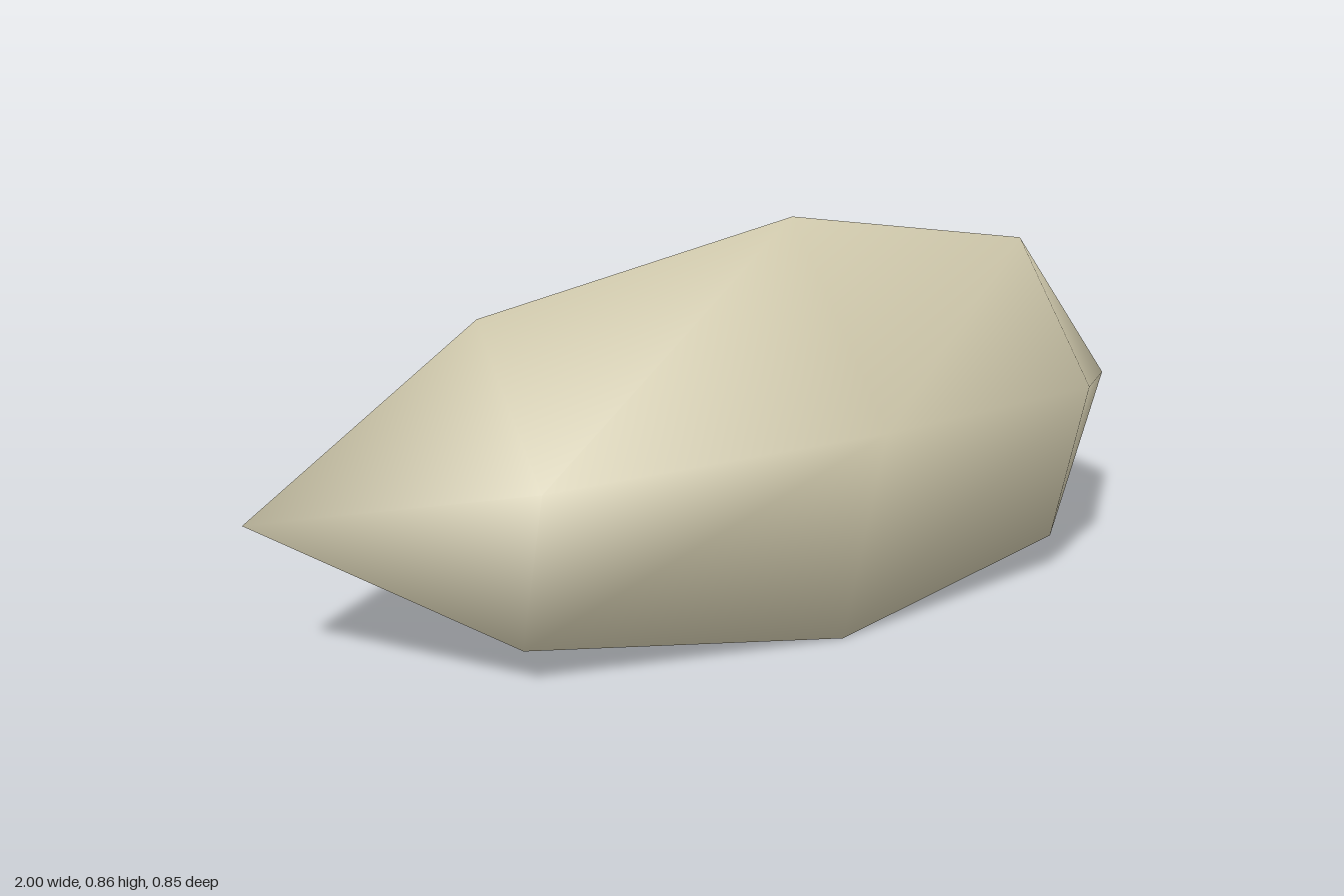
import * as THREE from 'three';

const SIDES = 5;
const AXIS_Y = 0.385;
// Pentagon rings along the body: x, vertical radius, depth radius
const RINGS = [
  [-0.5, 0.354, 0.358],
  [0.2, 0.475, 0.449],
  [0.76, 0.354, 0.316],
];

// Closed five-sided body with a shared point at each end, smooth normals
function bodyGeometry() {
  const positions = [];
  const index = [];
  for (const [x, ry, rz] of RINGS) {
    for (let j = 0; j < SIDES; j++) {
      const a = (j / SIDES) * Math.PI * 2;
      positions.push(x, AXIS_Y + Math.cos(a) * ry, Math.sin(a) * rz);
    }
  }
  const last = (RINGS.length - 1) * SIDES;
  const tailTip = RINGS.length * SIDES;
  const noseTip = tailTip + 1;
  positions.push(-1, AXIS_Y, 0, 1, AXIS_Y, 0);

  for (let j = 0; j < SIDES; j++) {
    const k = (j + 1) % SIDES;
    // End cones
    index.push(tailTip, k, j);
    index.push(noseTip, last + j, last + k);
    // Side panels between neighbouring rings
    for (let r = 0; r < last; r += SIDES) {
      const a = r + j, b = r + k, c = a + SIDES, d = b + SIDES;
      index.push(a, b, c, b, d, c);
    }
  }
  const geometry = new THREE.BufferGeometry();
  geometry.setAttribute('position', new THREE.Float32BufferAttribute(positions, 3));
  geometry.setIndex(index);
  geometry.computeVertexNormals();
  return geometry;
}

export function createModel() {
  const group = new THREE.Group();
  group.name = 'grain';
  const husk = new THREE.MeshStandardMaterial({ color: 0xd4cdb0 });
  husk.name = 'pale husk';
  const body = new THREE.Mesh(bodyGeometry(), husk);
  body.name = 'body';
  group.add(body);
  return group;
}
